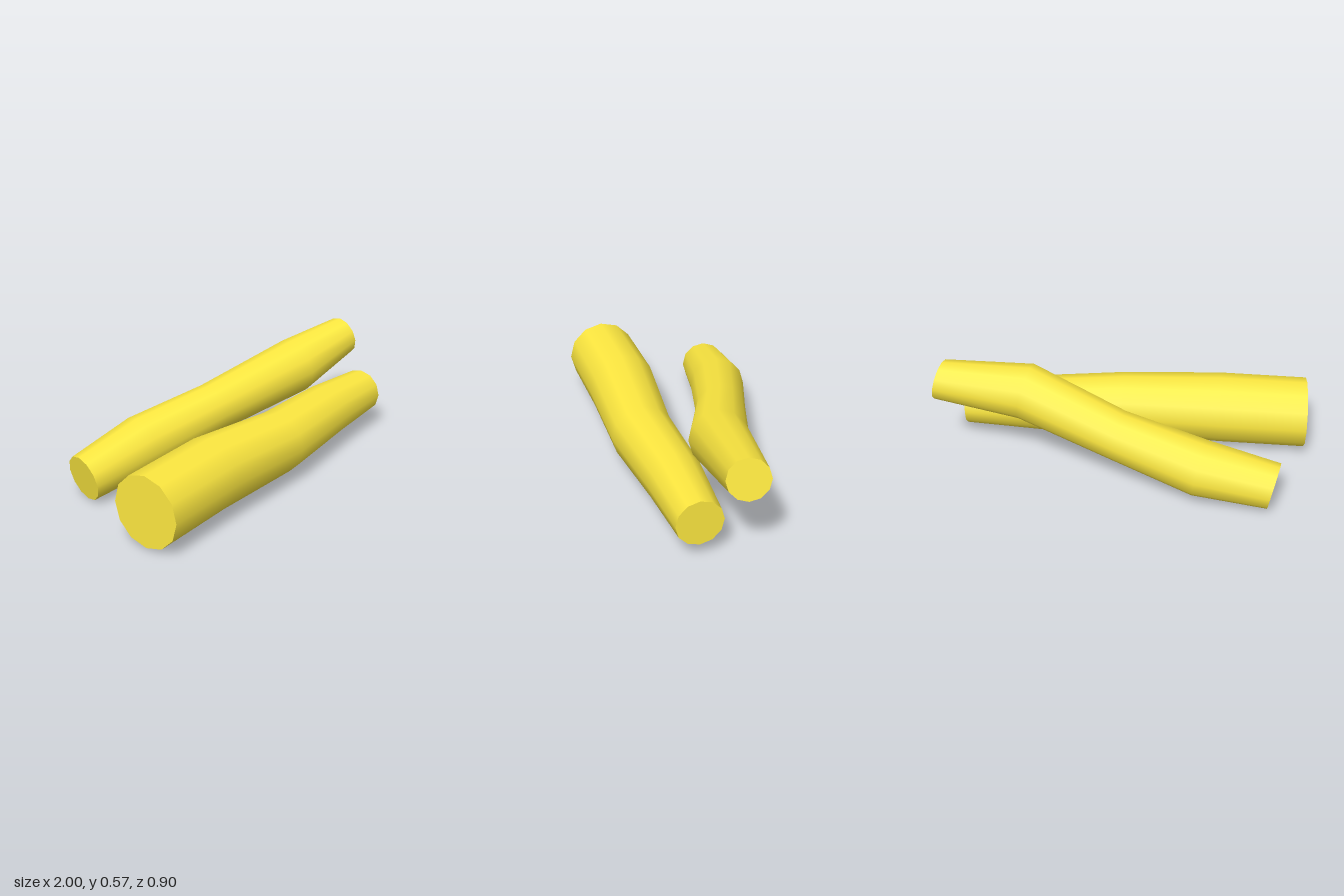
import * as THREE from 'three';

const SIDES = 12;
const material = new THREE.MeshStandardMaterial({ color: 0xfde840 });

// Bent log: each station is [x, y, z, radius]; all rings stay square to the end-to-end axis.
function makeLog(name, stations) {
  const rows = stations.length - 1;
  const centres = stations.map(([x, y, z]) => new THREE.Vector3(x, y, z));
  const axis = centres[rows].clone().sub(centres[0]).normalize();
  const side = new THREE.Vector3().crossVectors(axis, new THREE.Vector3(0, 1, 0)).normalize();
  const up = new THREE.Vector3().crossVectors(side, axis);
  const basis = new THREE.Matrix4().makeBasis(side, axis, up);

  const geometry = new THREE.CylinderGeometry(1, 1, 1, SIDES, rows);
  const pos = geometry.attributes.position;
  const normal = geometry.attributes.normal;
  const p = new THREE.Vector3();
  for (let i = 0; i < pos.count; i++) {
    p.fromBufferAttribute(pos, i);
    const row = Math.round((p.y + 0.5) * rows);
    p.setY(0).multiplyScalar(stations[row][3]).applyMatrix4(basis).add(centres[row]);
    pos.setXYZ(i, p.x, p.y, p.z);
    p.fromBufferAttribute(normal, i).transformDirection(basis);
    normal.setXYZ(i, p.x, p.y, p.z);
  }

  const mesh = new THREE.Mesh(geometry, material);
  mesh.name = name;
  return mesh;
}

export function createModel() {
  const model = new THREE.Group();
  model.name = 'logs';

  // Thick log lying along x at the front
  model.add(makeLog('frontLog', [
    [-1, 0.2, 0.248, 0.19],
    [-0.53, 0.213, 0.249, 0.19],
    [0, 0.2, 0.282, 0.168],
    [0.47, 0.2, 0.252, 0.15],
    [0.867, 0.198, 0.252, 0.123],
  ]));

  // Thinner log slanting up across the back
  model.add(makeLog('backLog', [
    [-0.815, 0.124, -0.332, 0.124],
    [-0.43, 0.188, -0.284, 0.151],
    [0, 0.28, -0.152, 0.135],
    [0.505, 0.415, 0.034, 0.152],
    [0.967, 0.462, 0.05, 0.11],
  ]));

  return model;
}
